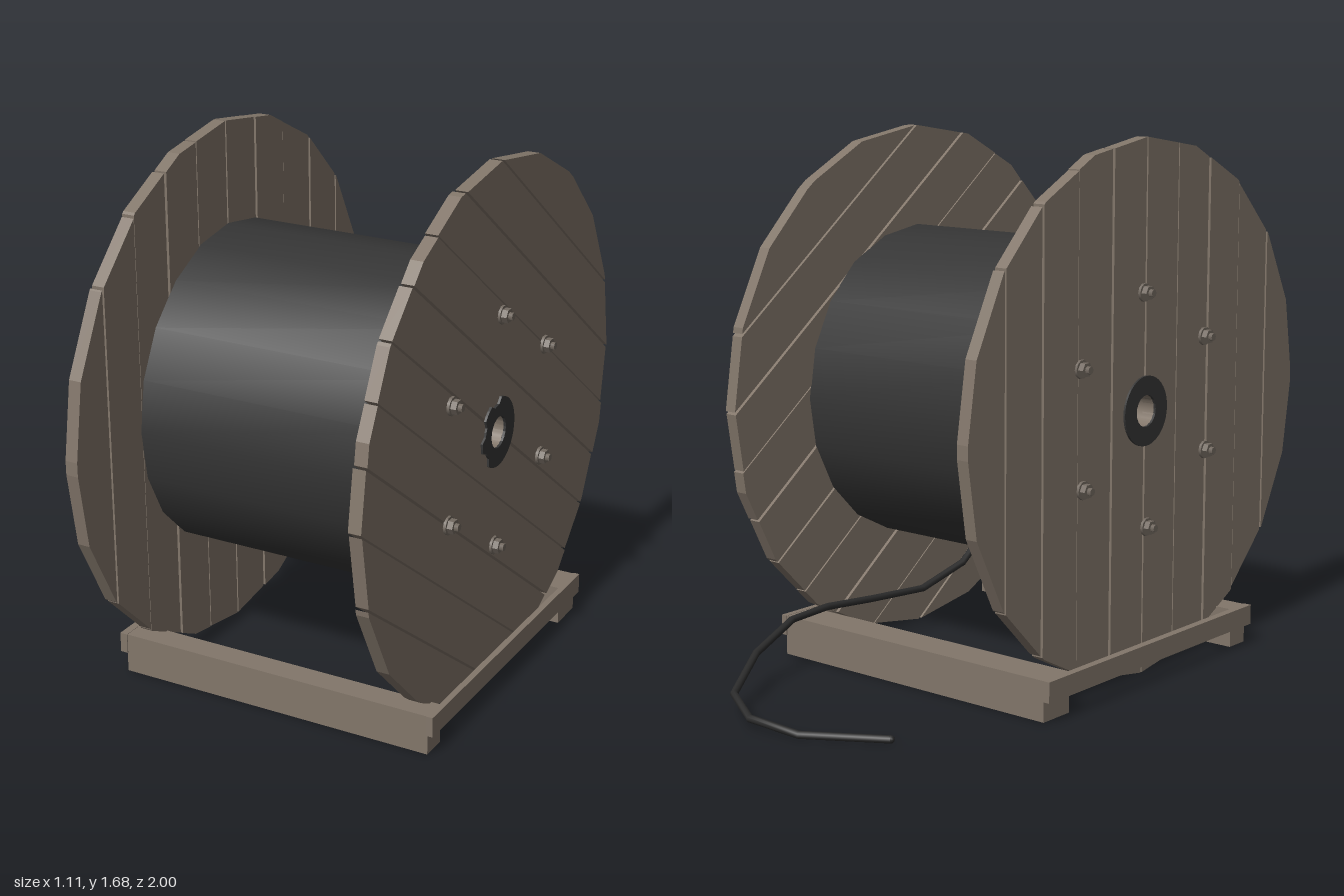
import * as THREE from 'three';
import { toCreasedNormals } from 'three/addons/utils/BufferGeometryUtils.js';

const CY = 0.85, CZ = 0.16, R = 0.841, BORE = 0.05, SIDES = 20, PLANKS = 10;
const rad = THREE.MathUtils.degToRad;

// Keep the part of a polygon where sign * x >= limit
function clip(points, sign, limit) {
  const out = [];
  points.forEach((p, i) => {
    const q = points[(i + 1) % points.length];
    const dp = sign * p.x - limit, dq = sign * q.x - limit;
    if (dp >= 0) out.push(p);
    if (dp * dq < 0) out.push(p.clone().lerp(q, dp / (dp - dq)));
  });
  return out;
}

// Add a half-round cut for the bore to a plank that touches the centre line
function cutBore(points, side, gap) {
  const out = [];
  points.forEach((p, i) => {
    out.push(p);
    const q = points[(i + 1) % points.length];
    if (Math.abs(p.x) < gap * 1.1 && Math.abs(q.x) < gap * 1.1) {
      for (let k = 0; k <= 10; k++) {
        const a = rad((side > 0 ? 0 : 180) + 84 - k * 16.8);
        out.push(new THREE.Vector2(BORE * Math.cos(a), BORE * Math.sin(a)));
      }
    }
  });
  return out;
}

export function createModel() {
  const model = new THREE.Group();
  const mat = (name, color) => {
    const m = new THREE.MeshStandardMaterial({ color });
    m.name = name;
    return m;
  };
  const wood = mat('weathered wood', 0x82766a);
  const black = mat('black cable winding', 0x353535);
  const cableMat = mat('black cable', 0x2b2b2b);
  const metal = mat('dull bolt metal', 0x736a61);

  const add = (name, geometry, material, parent = model) => {
    const mesh = new THREE.Mesh(geometry, material);
    mesh.name = name;
    parent.add(mesh);
    return mesh;
  };

  // Flange: polygonal disc sawn into planks, turned so its local z runs along x
  function flange(name, x, grain) {
    const group = new THREE.Group();
    group.name = name;
    group.position.set(x, CY, CZ);
    group.rotation.set(0, Math.PI / 2, grain);
    const disc = [];
    for (let i = 0; i < SIDES; i++) {
      const a = i * Math.PI * 2 / SIDES - grain;
      disc.push(new THREE.Vector2(R * Math.cos(a), R * Math.sin(a)));
    }
    const w = 2 * R / PLANKS, gap = 0.0035;
    for (let i = 0; i < PLANKS; i++) {
      const lo = -R + i * w;
      let pts = clip(clip(disc, 1, lo + gap), -1, -(lo + w - gap));
      if (i === PLANKS / 2) pts = cutBore(pts, 1, gap);
      if (i === PLANKS / 2 - 1) pts = cutBore(pts, -1, gap);
      const geo = new THREE.ExtrudeGeometry(new THREE.Shape(pts), { depth: 0.041, bevelEnabled: false });
      add('plank', geo, wood, group).position.z = -0.0205 + 0.002 * Math.sin(i * 2.4);
    }
    model.add(group);
  }
  flange('leftFlange', 0.482, rad(53));
  flange('rightFlange', -0.453, 0);

  // Wound drum with an open bore
  const h = 0.447;
  const profile = [[BORE, -h], [0.515, -h], [0.515, h], [BORE, h]].map(p => new THREE.Vector2(...p));
  const drum = add('woundDrum', toCreasedNormals(new THREE.LatheGeometry(profile, SIDES), 0.6), black);
  drum.rotation.z = Math.PI / 2;
  drum.position.set(0.015, CY, CZ);
  const liner = new THREE.CylinderGeometry(BORE, BORE, 0.97, 20, 1, true);
  const linerMat = mat('bore wood', 0x82766a);
  linerMat.side = THREE.DoubleSide;
  const bore = add('boreLiner', liner, linerMat);
  bore.rotation.z = Math.PI / 2;
  bore.position.set(0.015, CY, CZ);

  // Hub plates: a ring, notched along part of its rim on one side
  function hub(x, notched) {
    const pts = [];
    for (let a = 0; a < 360; a += 9) {
      const dip = notched && a > 55 && a < 235 && Math.sin(rad((a - 55) * 6)) < -0.2;
      const r = dip ? 0.09 : 0.11;
      pts.push(new THREE.Vector2(r * Math.cos(rad(a)), r * Math.sin(rad(a))));
    }
    const shape = new THREE.Shape(pts);
    shape.holes.push(new THREE.Path().absarc(0, 0, BORE, 0, Math.PI * 2, true));
    const geo = new THREE.ExtrudeGeometry(shape, { depth: 0.008, bevelEnabled: false, curveSegments: 10 });
    const mesh = add('hubPlate', geo, black);
    mesh.rotation.y = Math.PI / 2;
    mesh.position.set(x, CY, CZ);
  }
  hub(0.501, true);
  hub(-0.481, false);

  // Six bolts on each flange: washer, hex nut and stud
  for (const [face, dir] of [[0.503, 1], [-0.474, -1]]) {
    for (let i = 0; i < 6; i++) {
      const a = rad(88 + i * 60);
      const bolt = new THREE.Group();
      bolt.name = 'flangeBolt';
      bolt.position.set(face, CY + 0.37 * Math.sin(a), CZ - 0.37 * Math.cos(a));
      bolt.rotation.z = -dir * Math.PI / 2;
      let y = 0;
      for (const [name, r, height, n] of [['washer', 0.029, 0.009, 10], ['nut', 0.023, 0.018, 6], ['stud', 0.012, 0.013, 8]]) {
        const geo = toCreasedNormals(new THREE.CylinderGeometry(r, r, height, n), 0.9);
        add(name, geo, metal, bolt).position.y = y + height / 2;
        y += height;
      }
      model.add(bolt);
    }
  }

  // Ground frame: two cross beams joined by thin side rails
  const box = (name, x0, x1, y0, y1, z0, z1) =>
    add(name, new THREE.BoxGeometry(x1 - x0, y1 - y0, z1 - z0), wood)
      .position.set((x0 + x1) / 2, (y0 + y1) / 2, (z0 + z1) / 2);
  box('frontBeam', -0.532, 0.532, 0.006, 0.134, 0.575, 0.657);
  box('backBeam', -0.532, 0.532, 0.006, 0.134, -0.407, -0.285);
  box('leftRail', 0.53, 0.55, 0.07, 0.135, -0.41, 0.66);
  box('rightRail', -0.555, -0.53, 0.07, 0.135, -0.41, 0.66);

  // Loose cable end: leaves the drum, passes below it and trails behind
  const path = [
    [0.37, 0.47, 0.49], [0.37, 0.31, 0.43], [0.37, 0.2, 0.28], [0.375, 0.15, 0.08], [0.395, 0.16, -0.15],
    [0.412, 0.172, -0.34], [0.412, 0.165, -0.5], [0.36, 0.115, -0.71], [0.24, 0.062, -0.92],
    [0.1, 0.035, -0.99], [-0.08, 0.02, -0.97], [-0.31, 0.02, -0.83],
  ].map(p => new THREE.Vector3(...p));
  const curve = new THREE.CatmullRomCurve3(path);
  curve.getPointAt = curve.getPoint;
  curve.getTangentAt = curve.getTangent;
  add('looseCable', new THREE.TubeGeometry(curve, path.length - 1, 0.012, 8), cableMat);
  const tip = add('cableTip', new THREE.SphereGeometry(0.012, 8, 6), cableMat);
  tip.position.copy(path[path.length - 1]);

  return model;
}
